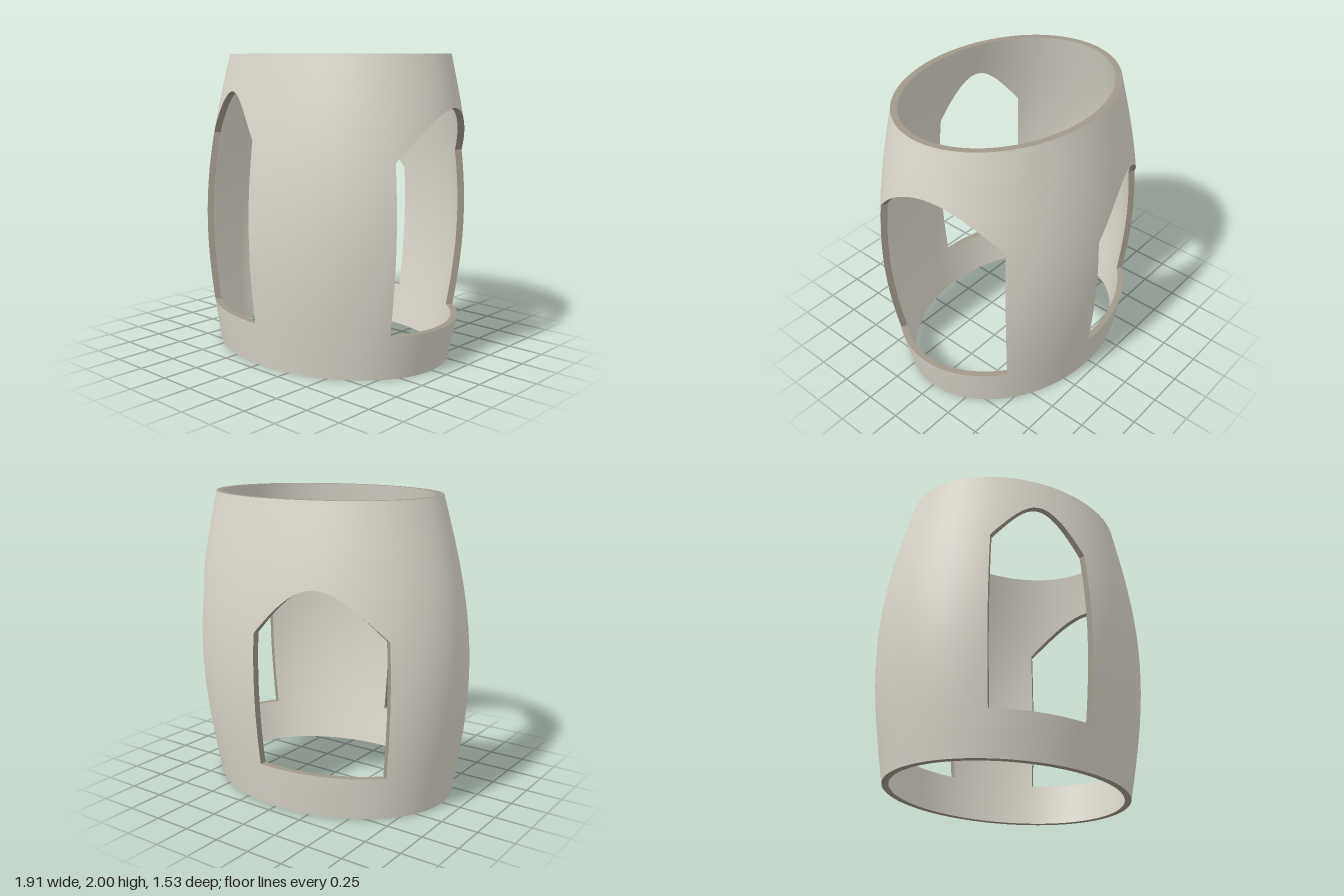
import * as THREE from 'three';
import { mergeGeometries } from 'three/addons/utils/BufferGeometryUtils.js';

const H = 2, SILL = 0.29, WALL = 0.043, AXIS = 0.015;
const rad = THREE.MathUtils.degToRad;

// Arched openings: angle range about the vertical axis, spring line and arch rise
const windows = [
  { name: 'leftWindow', a0: rad(-37), a1: rad(23.5), spring: 1.365, rise: 0.305 },
  { name: 'frontWindow', a0: rad(90), a1: rad(141), spring: 1.47, rise: 0.29 },
  { name: 'backWindow', a0: rad(212), a1: rad(275.6), spring: 1.175, rise: 0.3 },
];

// Point on the leaning elliptical barrel, along a ray from the vertical axis
function wallPoint(a, y, inset) {
  const t = y / H;
  const r = 0.8785 - 0.0675 * t + 0.144 * Math.sin(Math.PI * t);
  const rx = r - inset, rz = r * 0.775 - inset;
  const d = 0.009 + 0.056 * t - AXIS;
  const c = Math.cos(a), s = Math.sin(a);
  const A = (c / rx) ** 2 + (s / rz) ** 2;
  const B = (-2 * c * d) / rx ** 2;
  const C = (d / rx) ** 2 - 1;
  const k = (-B + Math.sqrt(B * B - 4 * A * C)) / (2 * A);
  return new THREE.Vector3(AXIS + k * c, y, k * s);
}

// Grid surface from a point function; an optional normal function keeps seams smooth
function grid(nu, nv, point, normal, flip) {
  const pos = [], nor = [], idx = [];
  for (let i = 0; i <= nu; i++) for (let j = 0; j <= nv; j++) {
    pos.push(...point(i / nu, j / nv).toArray());
    if (normal) nor.push(...normal(i / nu, j / nv).toArray());
    if (i < nu && j < nv) {
      const a = i * (nv + 1) + j, b = a + 1, c = a + nv + 1, d = c + 1;
      if (flip) idx.push(a, c, b, b, c, d);
      else idx.push(a, b, c, b, d, c);
    }
  }
  const g = new THREE.BufferGeometry();
  g.setAttribute('position', new THREE.Float32BufferAttribute(pos, 3));
  g.setIndex(idx);
  if (normal) g.setAttribute('normal', new THREE.Float32BufferAttribute(nor, 3));
  else g.computeVertexNormals();
  return g;
}

// Curved piece of wall between two angles and two height curves
function wallPatch(a0, a1, low, high, nv, inset) {
  const nu = Math.ceil((a1 - a0) / rad(1.5));
  const angle = (u) => a0 + (a1 - a0) * u;
  const height = (u, v) => THREE.MathUtils.lerp(low(u), high(u), v);
  const normal = (u, v) => {
    const a = angle(u), y = height(u, v), e = 1e-3;
    const dy = wallPoint(a, y + e, inset).sub(wallPoint(a, y - e, inset));
    const da = wallPoint(a + e, y, inset).sub(wallPoint(a - e, y, inset));
    return dy.cross(da).normalize().multiplyScalar(inset ? -1 : 1);
  };
  return grid(nu, nv, (u, v) => wallPoint(angle(u), height(u, v), inset), normal, inset > 0);
}

// Strip spanning the wall thickness along a path of angle and height
function edgeStrip(n, angle, height) {
  return grid(n, 1, (u, v) => wallPoint(angle(u), height(u), v * WALL));
}

export function createModel() {
  const wallMaterial = new THREE.MeshStandardMaterial({ color: 0xdad6ca });
  wallMaterial.name = 'pale warm grey';
  const trimMaterial = new THREE.MeshStandardMaterial({ color: 0xa0988a, side: THREE.DoubleSide });
  trimMaterial.name = 'taupe';

  const model = new THREE.Group();
  model.name = 'archedBarrelShell';
  const add = (name, geometry, material) => {
    const mesh = new THREE.Mesh(geometry, material);
    mesh.name = name;
    model.add(mesh);
  };
  const bottom = () => 0, sill = () => SILL, top = () => H;

  // Outer and inner walls: sill band, pillars and arch heads
  for (const [name, inset] of [['outerWall', 0], ['innerWall', WALL]]) {
    const patches = [];
    windows.forEach((w, i) => {
      const next = windows[(i + 1) % 3];
      const end = next.a0 + (i === 2 ? 2 * Math.PI : 0);
      const arch = (u) => w.spring + w.rise * Math.sin(Math.PI * u);
      const spring = (u) => THREE.MathUtils.lerp(w.spring, next.spring, u);
      patches.push(
        wallPatch(w.a0, w.a1, bottom, sill, 8, inset),
        wallPatch(w.a0, w.a1, arch, top, 16, inset),
        wallPatch(w.a1, end, bottom, sill, 8, inset),
        wallPatch(w.a1, end, sill, spring, 24, inset),
        wallPatch(w.a1, end, spring, top, 16, inset),
      );
    });
    add(name, mergeGeometries(patches), wallMaterial);
  }

  // Window reveals: two jambs, sill and arch soffit
  for (const w of windows) {
    const n = Math.ceil((w.a1 - w.a0) / rad(1.5));
    const angle = (u) => w.a0 + (w.a1 - w.a0) * u;
    const jamb = (u) => SILL + (w.spring - SILL) * u;
    add(w.name + 'Reveal', mergeGeometries([
      edgeStrip(24, () => w.a0, jamb),
      edgeStrip(24, () => w.a1, jamb),
      edgeStrip(n, angle, sill),
      edgeStrip(n, angle, (u) => w.spring + w.rise * Math.sin(Math.PI * u)),
    ]), trimMaterial);
  }

  // Open rims
  add('topRim', edgeStrip(240, (u) => u * 2 * Math.PI, top), trimMaterial);
  add('bottomRim', edgeStrip(240, (u) => u * 2 * Math.PI, bottom), trimMaterial);
  return model;
}
